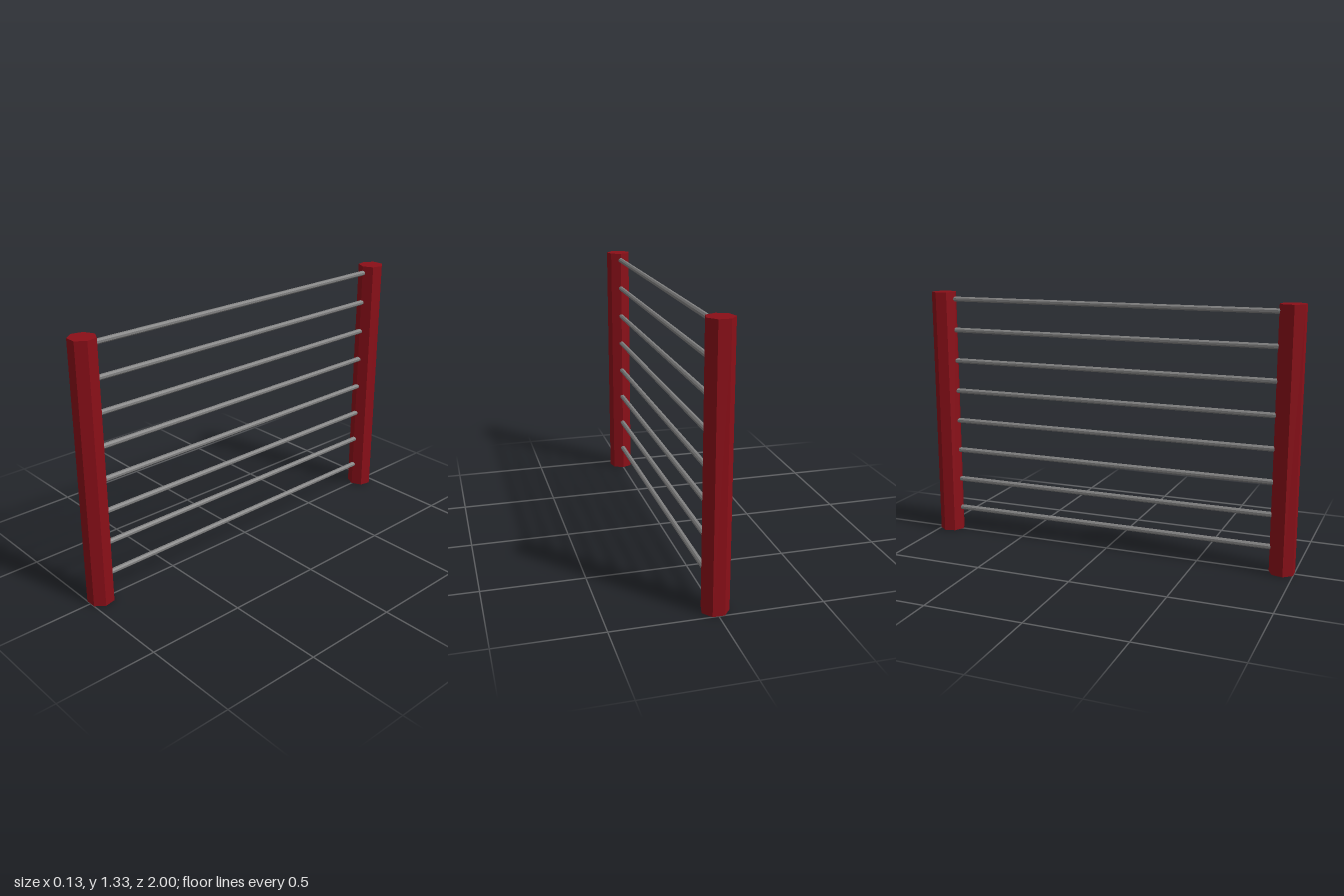
import * as THREE from 'three';

const HEIGHT = 1.333;
const POST_RADIUS = 0.0667;
const POST_Z = 1 - POST_RADIUS * Math.cos(Math.PI / 7);
const ROD_RADIUS = 0.0135;
const ROD_COUNT = 8;

export function createModel() {
  const model = new THREE.Group();
  model.name = 'barredFence';

  const red = new THREE.MeshStandardMaterial({ color: 0x8a0f18, flatShading: true });
  const grey = new THREE.MeshStandardMaterial({ color: 0x808080, flatShading: true });

  // Seven-sided posts, each with a corner pointing inward and a flat face outward
  const postGeometry = new THREE.CylinderGeometry(POST_RADIUS, POST_RADIUS, HEIGHT, 7);
  for (const side of [1, -1]) {
    const post = new THREE.Mesh(postGeometry, red);
    post.name = side > 0 ? 'frontPost' : 'backPost';
    post.position.set(0, HEIGHT / 2, side * POST_Z);
    post.rotation.y = side > 0 ? Math.PI : 0;
    model.add(post);
  }

  // Evenly spaced horizontal rods, running into both posts
  const rodGeometry = new THREE.CylinderGeometry(ROD_RADIUS, ROD_RADIUS, POST_Z * 2, 8);
  rodGeometry.rotateY(Math.PI / 8).rotateX(Math.PI / 2);
  const rods = new THREE.Group();
  rods.name = 'rods';
  for (let i = 0; i < ROD_COUNT; i++) {
    const rod = new THREE.Mesh(rodGeometry, grey);
    rod.name = `rod${i + 1}`;
    rod.position.y = 0.127 + i * 0.1669;
    rods.add(rod);
  }
  model.add(rods);

  return model;
}
